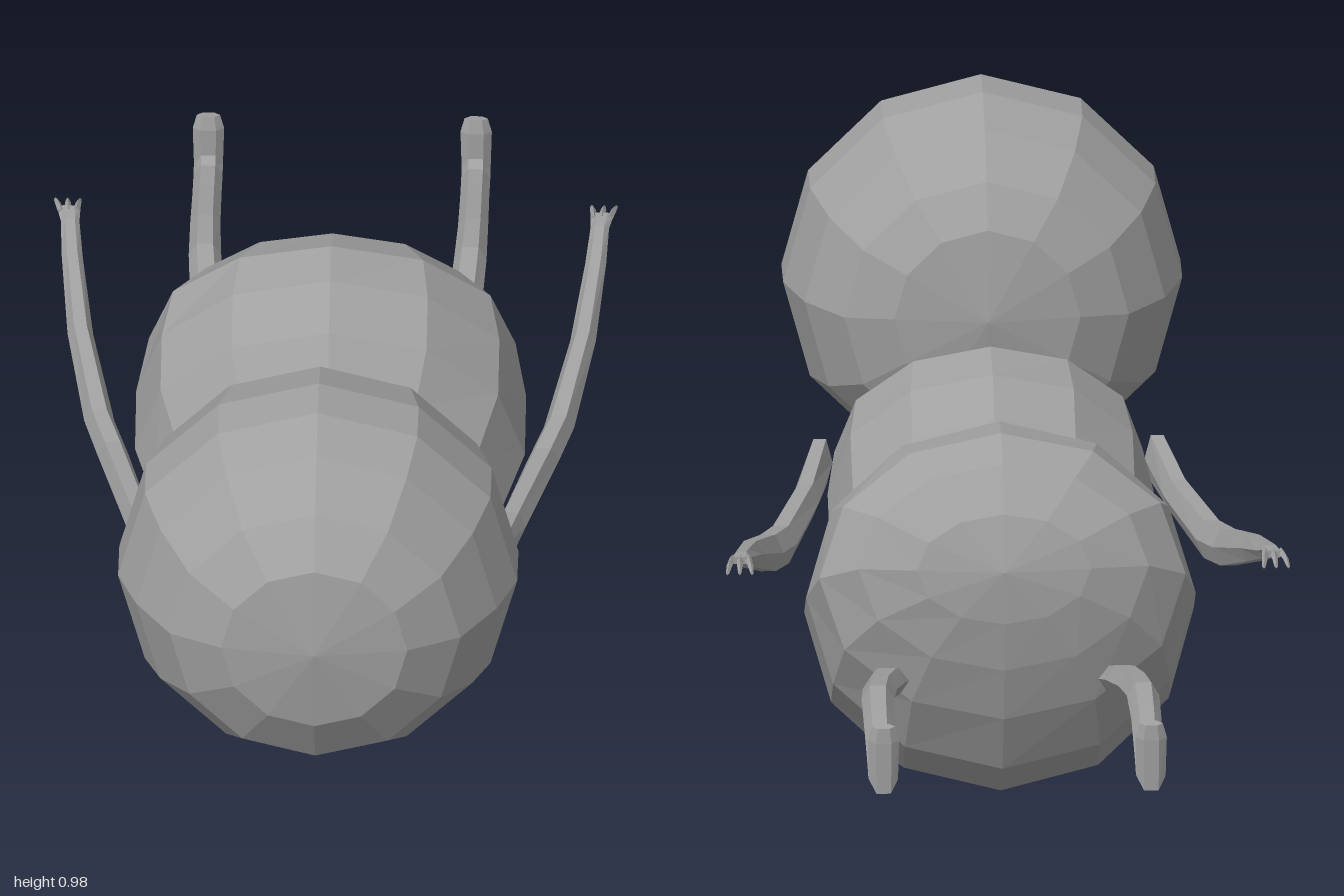
import * as THREE from 'three';

const grey = new THREE.MeshStandardMaterial({ color: 0xa0a0a0, flatShading: true });
grey.name = 'plain grey';

// Lofts a closed skin through oval sections listed as
// [centre x, half width, top z, top y, bottom z, bottom y].
function loft(name, sections, sides) {
  const rings = sections.map(([cx, w, tz, ty, bz, by]) => {
    const ring = [];
    for (let j = 0; j < sides; j++) {
      const a = (j / sides) * Math.PI * 2, s = Math.sin(a);
      ring.push(new THREE.Vector3(
        cx + w * Math.cos(a),
        (ty + by) / 2 + ((ty - by) / 2) * s,
        (tz + bz) / 2 + ((tz - bz) / 2) * s));
    }
    return ring;
  });
  const pos = [];
  const tri = (a, b, c) => {
    if (new THREE.Triangle(a, b, c).getArea() < 1e-8) return;
    for (const p of [a, b, c]) pos.push(p.x, p.y, p.z);
  };
  const middle = ring => ring.reduce((m, p) => m.add(p), new THREE.Vector3()).divideScalar(sides);
  const first = rings[0], last = rings[rings.length - 1];
  const start = middle(first), end = middle(last);
  for (let j = 0; j < sides; j++) {
    const k = (j + 1) % sides;
    for (let i = 0; i < rings.length - 1; i++) {
      const a = rings[i], b = rings[i + 1];
      tri(a[j], b[j], a[k]);
      tri(a[k], b[j], b[k]);
    }
    tri(start, first[j], first[k]);
    tri(end, last[k], last[j]);
  }
  const geometry = new THREE.BufferGeometry();
  geometry.setAttribute('position', new THREE.Float32BufferAttribute(pos, 3));
  geometry.computeVertexNormals();
  const mesh = new THREE.Mesh(geometry, grey);
  mesh.name = name;
  return mesh;
}

export function createModel() {
  const model = new THREE.Group();
  model.name = 'bigHeadedFigure';

  // Head: a slightly flattened ball with its poles on z
  const headProfile = [
    [0, 0.997], [0.16, 0.975], [0.25, 0.915], [0.31, 0.825], [0.343, 0.74],
    [0.343, 0.65], [0.31, 0.55], [0.245, 0.468], [0.16, 0.422], [0, 0.4],
  ];
  model.add(loft('head', headProfile.map(([r, z]) => {
    const y = 0.643 + (r < 0.2 ? 0.012 : 0);
    return [0, r, z, y + r, z, y - r];
  }), 12));

  // Body: a bent tube, creased across the back
  model.add(loft('body', [
    [0, 0, 0.47, 0.47, 0.47, 0.47],
    [0, 0.12, 0.42, 0.56, 0.515, 0.39],
    [0, 0.21, 0.37, 0.62, 0.535, 0.29],
    [0, 0.265, 0.28, 0.655, 0.49, 0.2],
    [0, 0.28, 0.18, 0.64, 0.39, 0.135],
    [0, 0.28, 0.1, 0.59, 0.25, 0.07],
    [0, 0.275, 0.05, 0.535, 0.08, 0.018],
    [0, 0.3, 0.02, 0.545, -0.08, 0.003],
    [0, 0.335, -0.04, 0.62, -0.2, 0.018],
    [0, 0.335, -0.13, 0.667, -0.29, 0.09],
    [0, 0.315, -0.22, 0.678, -0.345, 0.2],
    [0, 0.25, -0.3, 0.65, -0.375, 0.3],
    [0, 0.15, -0.36, 0.58, -0.39, 0.39],
    [0, 0, -0.393, 0.485, -0.393, 0.485],
  ], 12));

  for (const [side, s] of [['left', 1], ['right', -1]]) {
    const limb = (name, sections, sides) =>
      model.add(loft(side + name, sections.map(([x, ...rest]) => [x * s, ...rest]), sides));

    // Arm: swept back and rising to a drooping hand
    limb('Arm', [
      [0.29, 0.022, 0.38, 0.46, 0.37, 0.365],
      [0.32, 0.025, 0.22, 0.435, 0.22, 0.365],
      [0.37, 0.027, 0.02, 0.432, 0.0, 0.36],
      [0.395, 0.026, -0.06, 0.445, -0.08, 0.375],
      [0.432, 0.022, -0.24, 0.498, -0.25, 0.445],
      [0.45, 0.018, -0.4, 0.54, -0.41, 0.51],
      [0.455, 0.016, -0.47, 0.56, -0.475, 0.54],
      [0.458, 0.02, -0.505, 0.562, -0.505, 0.547],
    ], 6);

    // Three fingers
    for (const f of [-1, 0, 1]) {
      limb('Finger', [
        [0.458 + f * 0.013, 0.006, -0.495, 0.563, -0.495, 0.548],
        [0.46 + f * 0.018, 0.005, -0.525, 0.56, -0.525, 0.546],
        [0.461 + f * 0.021, 0.003, -0.545, 0.55, -0.545, 0.542],
      ], 4);
    }

    // Leg: trails behind, bent at the knee, foot turned up
    limb('Leg', [
      [0.195, 0.035, -0.31, 0.288, -0.33, 0.24],
      [0.205, 0.033, -0.42, 0.327, -0.42, 0.268],
      [0.22, 0.03, -0.54, 0.357, -0.54, 0.302],
      [0.228, 0.028, -0.66, 0.383, -0.66, 0.328],
      [0.23, 0.026, -0.76, 0.374, -0.77, 0.325],
      [0.23, 0.025, -0.88, 0.353, -0.89, 0.307],
      [0.23, 0.025, -0.955, 0.343, -0.965, 0.295],
      [0.23, 0.025, -0.972, 0.352, -0.998, 0.3],
      [0.23, 0.027, -0.972, 0.4, -1.0, 0.395],
      [0.23, 0.02, -0.978, 0.425, -0.998, 0.422],
    ], 6);
  }
  return model;
}
